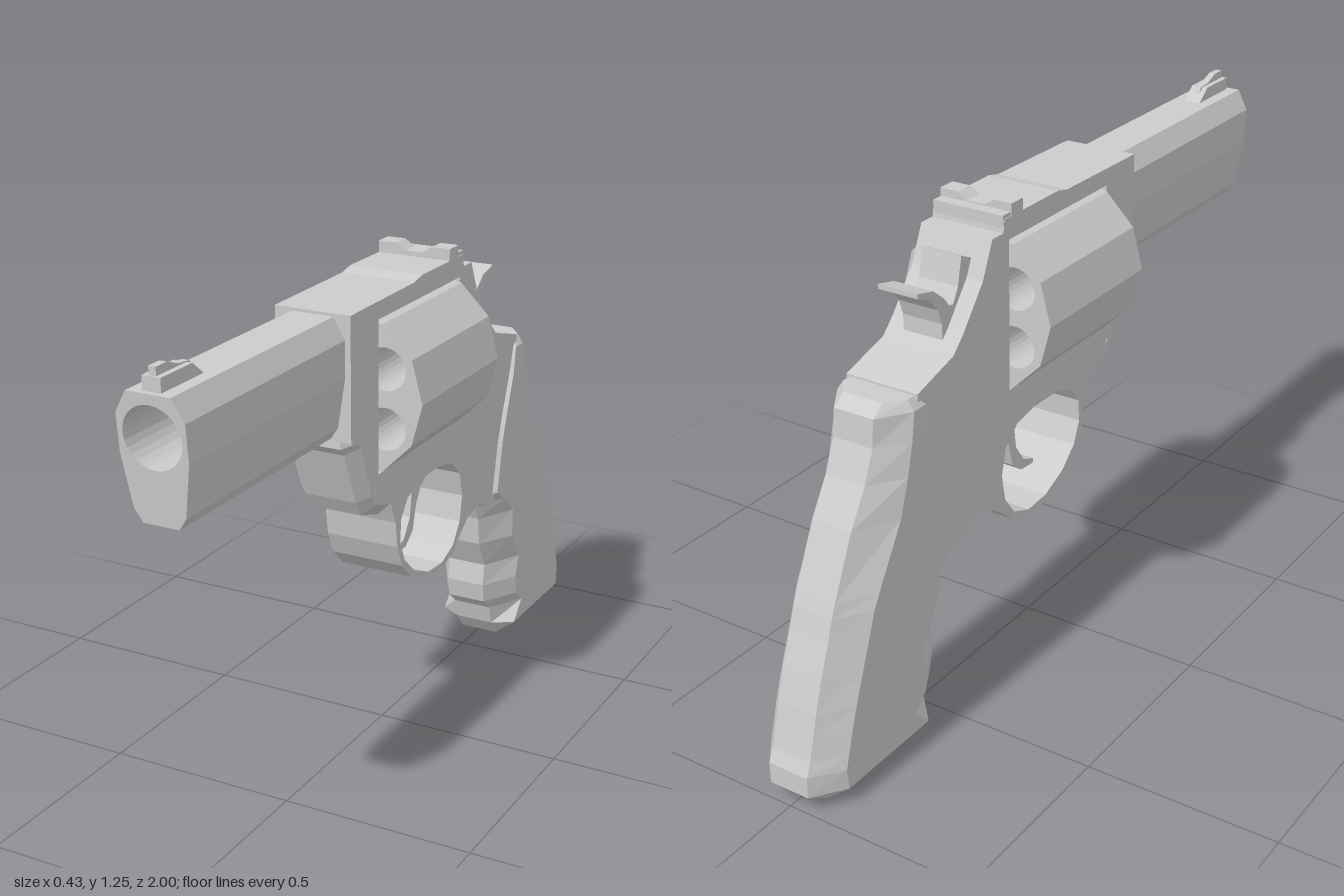
import * as THREE from 'three';

const material = new THREE.MeshStandardMaterial({ color: 0xcccccc, flatShading: true, side: THREE.DoubleSide });
const toVectors = (points) => points.map(([a, b]) => new THREE.Vector2(a, b));

function addMesh(parent, name, geometry) {
  const mesh = new THREE.Mesh(geometry, material);
  mesh.name = name;
  parent.add(mesh);
  return mesh;
}

// Side profile of (z, y) points, extruded across x and centred on x = 0
function sideProfile(points, width, holes = [], bevel = 0) {
  const shape = new THREE.Shape(toVectors(points));
  holes.forEach((hole) => shape.holes.push(hole));
  const geometry = new THREE.ExtrudeGeometry(shape, {
    depth: width - 2 * bevel, curveSegments: 20, bevelEnabled: bevel > 0,
    bevelSize: bevel, bevelThickness: bevel, bevelOffset: -bevel, bevelSegments: 1,
  });
  geometry.translate(0, 0, bevel - width / 2);
  return geometry.rotateY(-Math.PI / 2);
}

function circle(x, y, r) {
  return new THREE.Path().absarc(x, y, r, 0, Math.PI * 2, true);
}

// Grip: octagonal cross-sections [y, front, frontShoulder, backShoulder, back, halfWidth]
function gripGeometry() {
  const rows = [
    [0, -0.61, -0.64, -0.9, -0.93, 0.056],
    [0.045, -0.575, -0.61, -0.92, -1, 0.112],
    [0.1, -0.56, -0.66, -0.925, -1, 0.112],
    [0.135, -0.52, -0.62, -0.915, -0.985, 0.112],
    [0.19, -0.51, -0.61, -0.9, -0.97, 0.112],
    [0.25, -0.52, -0.63, -0.88, -0.955, 0.112],
    [0.33, -0.48, -0.58, -0.85, -0.93, 0.112],
    [0.41, -0.47, -0.58, -0.82, -0.9, 0.112],
    [0.465, -0.445, -0.52, -0.8, -0.882, 0.112],
    [0.5, -0.44, -0.47, -0.78, -0.868, 0.112],
    [0.65, -0.48, -0.5, -0.69, -0.8, 0.112],
    [0.74, -0.52, -0.53, -0.66, -0.745, 0.112],
    [0.82, -0.55, -0.56, -0.64, -0.712, 0.112],
    [0.89, -0.57, -0.58, -0.625, -0.705, 0.108],
    [0.915, -0.59, -0.6, -0.625, -0.67, 0.09],
  ];
  const positions = [];
  const index = [];
  const n = 8;
  for (const [y, f, fs, bs, b, w] of rows) {
    const half = [[0.055, f], [w, fs], [w, bs], [0.055, b]];
    for (const [x, z] of half) positions.push(x, y, z);
    for (const [x, z] of half.reverse()) positions.push(-x, y, z);
  }
  for (let i = 0; i < rows.length - 1; i++) {
    for (let j = 0; j < n; j++) {
      const a = i * n + j, b = i * n + (j + 1) % n;
      index.push(a, b, b + n, a, b + n, a + n);
    }
  }
  const top = (rows.length - 1) * n;
  for (let j = 1; j < n - 1; j++) {
    index.push(0, j + 1, j, top, top + j, top + j + 1);
  }
  const geometry = new THREE.BufferGeometry();
  geometry.setAttribute('position', new THREE.Float32BufferAttribute(positions, 3));
  geometry.setIndex(index);
  const flat = geometry.toNonIndexed();
  flat.computeVertexNormals();
  return flat;
}

export function createModel() {
  const model = new THREE.Group();
  model.name = 'revolver';

  // Frame with cylinder window and trigger guard opening
  const frameOutline = [
    [0.34, 1.21], [0.02, 1.213], [-0.02, 1.222], [-0.25, 1.222], [-0.255, 1.19], [-0.3, 1.19],
    [-0.34, 1.1], [-0.42, 1], [-0.46, 0.96], [-0.6, 0.92], [-0.61, 0.75], [-0.55, 0.52],
    [-0.47, 0.47], [-0.44, 0.465], [-0.38, 0.495], [-0.31, 0.485], [-0.265, 0.455],
    [-0.22, 0.415], [-0.15, 0.392], [-0.06, 0.4], [0.03, 0.44], [0.08, 0.49], [0.105, 0.55],
    [0.115, 0.62], [0.14, 0.68], [0.2, 0.7], [0.29, 0.88], [0.34, 0.9],
  ];
  const window = new THREE.Path(toVectors([[0.205, 0.78], [-0.232, 0.78], [-0.232, 1.167], [0.205, 1.167]]));
  const guardOpening = new THREE.Path(toVectors([
    [0.09, 0.56], [0.085, 0.62], [0.05, 0.665], [-0.02, 0.688], [-0.12, 0.69], [-0.2, 0.675],
    [-0.25, 0.63], [-0.268, 0.56], [-0.255, 0.49], [-0.215, 0.435], [-0.15, 0.41],
    [-0.07, 0.415], [0.01, 0.45], [0.065, 0.5],
  ]));
  addMesh(model, 'frame', sideProfile(frameOutline, 0.2, [window, guardOpening]));

  // Chamfered front of the frame under the barrel
  addMesh(model, 'frameFront', sideProfile([
    [0.335, 0.96], [0.338, 0.88], [0.32, 0.86], [0.265, 0.72], [0.24, 0.68],
    [0.15, 0.65], [0.105, 0.665], [0.12, 0.72], [0.212, 0.76], [0.212, 0.96],
  ], 0.199, [], 0.03));

  // Barrel with open bore, its muzzle leaning back towards the bottom
  const barrelHalf = [[0.045, 0.905], [0.065, 0.935], [0.085, 1.06], [0.085, 1.15], [0.055, 1.202]];
  const barrelShape = new THREE.Shape(toVectors([
    ...barrelHalf, ...barrelHalf.map(([x, y]) => [-x, y]).reverse(),
  ]));
  barrelShape.holes.push(circle(0, 1.105, 0.073));
  const barrel = new THREE.ExtrudeGeometry(barrelShape, { depth: 0.68, bevelEnabled: false, curveSegments: 14 });
  barrel.translate(0, 0, 0.32);
  const p = barrel.attributes.position;
  for (let i = 0; i < p.count; i++) {
    if (p.getZ(i) > 0.9) p.setZ(i, 1 - (1.202 - p.getY(i)) * 0.09);
  }
  barrel.computeVertexNormals();
  addMesh(model, 'barrel', barrel);

  // Twelve-sided cylinder with six open chambers
  const drum = new THREE.Shape(toVectors(Array.from({ length: 12 }, (_, i) => {
    const a = i * Math.PI / 6;
    return [Math.cos(a) * 0.213, Math.sin(a) * 0.213];
  })));
  for (let i = 0; i < 6; i++) {
    const a = Math.PI / 6 + i * Math.PI / 3;
    drum.holes.push(circle(Math.cos(a) * 0.132, Math.sin(a) * 0.15, 0.054));
  }
  const drumGeometry = new THREE.ExtrudeGeometry(drum, { depth: 0.425, bevelEnabled: false, curveSegments: 14 });
  addMesh(model, 'cylinder', drumGeometry).position.set(0, 0.97, -0.228);

  // Grip with finger grooves
  addMesh(model, 'grip', gripGeometry());

  // Trigger
  addMesh(model, 'trigger', sideProfile([
    [-0.095, 0.7], [-0.11, 0.62], [-0.1, 0.545], [-0.065, 0.495], [-0.02, 0.478], [-0.02, 0.466],
    [-0.075, 0.47], [-0.115, 0.5], [-0.135, 0.57], [-0.16, 0.61], [-0.205, 0.64], [-0.23, 0.7],
  ], 0.06));

  // Hammer body and thumb spur
  addMesh(model, 'hammer', sideProfile([
    [-0.3, 1.13], [-0.325, 1.145], [-0.36, 1.16], [-0.375, 1.09], [-0.43, 0.99], [-0.34, 1.0],
  ], 0.11));
  addMesh(model, 'hammerSpur', sideProfile([
    [-0.38, 1.05], [-0.41, 1.055], [-0.43, 1.08], [-0.47, 1.112], [-0.53, 1.126], [-0.53, 1.114],
    [-0.485, 1.095], [-0.455, 1.06], [-0.44, 1.02], [-0.44, 0.97], [-0.4, 0.98],
  ], 0.11));

  // Front sight: base ramp and thin blade
  const frontSight = new THREE.Group();
  frontSight.name = 'frontSight';
  model.add(frontSight);
  addMesh(frontSight, 'sightBase', sideProfile([
    [0.985, 1.195], [0.985, 1.235], [0.87, 1.235], [0.82, 1.195],
  ], 0.046));
  addMesh(frontSight, 'sightBlade', sideProfile([
    [0.98, 1.2], [0.98, 1.255], [0.94, 1.255], [0.9, 1.24], [0.86, 1.236], [0.84, 1.2],
  ], 0.018));

  // Notched rear sight
  const notch = new THREE.Shape(toVectors([
    [-0.1, 1.21], [0.1, 1.21], [0.1, 1.252], [0.05, 1.252], [0.025, 1.235],
    [-0.025, 1.235], [-0.05, 1.252], [-0.1, 1.252],
  ]));
  const rearSight = new THREE.ExtrudeGeometry(notch, { depth: 0.05, bevelEnabled: false });
  addMesh(model, 'rearSight', rearSight).position.z = -0.222;
  addMesh(model, 'rearSightBase', new THREE.BoxGeometry(0.196, 0.03, 0.05)).position.set(0, 1.217, -0.229);

  return model;
}
